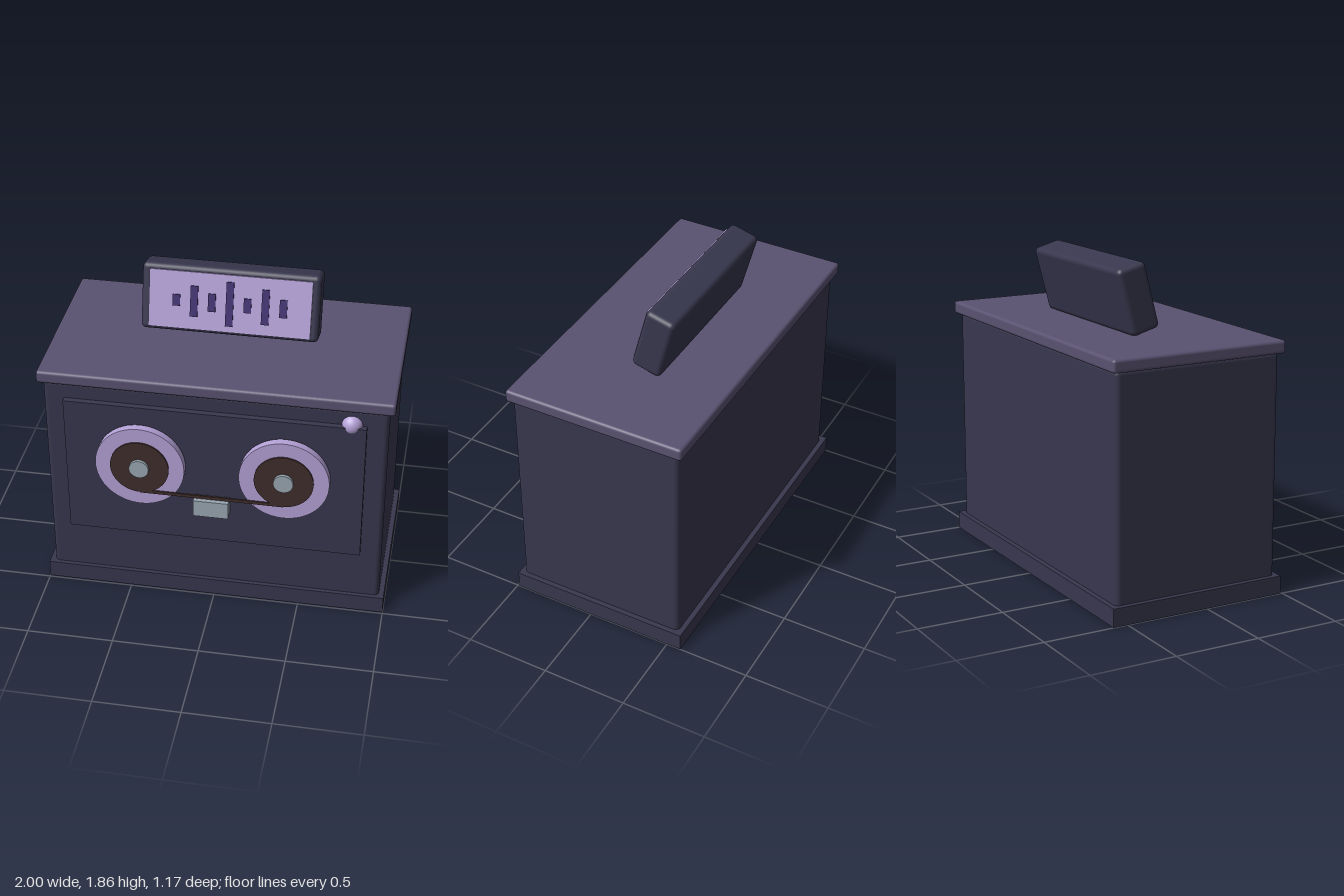
import * as THREE from 'three';
import { RoundedBoxGeometry } from 'three/addons/geometries/RoundedBoxGeometry.js';

const material = (name, color) => {
  const m = new THREE.MeshStandardMaterial({ color });
  m.name = name;
  return m;
};

export function createModel() {
  const model = new THREE.Group();
  model.name = 'tapeMachine';

  const casing = material('dark casing', 0x38374e);
  const lidMat = material('muted purple', 0x5a5271);
  const lilac = material('lilac', 0xb5a2d8);
  const tapeMat = material('brown tape', 0x3e2d2b);
  const metal = material('grey metal', 0x9aa8b4);
  const barMat = material('deep purple', 0x402f70);

  const add = (parent, name, geometry, mat, x, y, z) => {
    const mesh = new THREE.Mesh(geometry, mat);
    mesh.name = name;
    mesh.position.set(x, y, z);
    parent.add(mesh);
    return mesh;
  };
  const box = (w, h, d) => new THREE.BoxGeometry(w, h, d);
  const rounded = (w, h, d, r) => new RoundedBoxGeometry(w, h, d, 4, r);
  const disc = (r, d) => new THREE.CylinderGeometry(r, r, d, 64).rotateX(Math.PI / 2);

  // Cabinet
  add(model, 'base', box(2, 0.105, 1.075), casing, 0, 0.0525, -0.048);
  add(model, 'body', rounded(1.94, 1.33, 1.02, 0.03), casing, 0, 0.725, -0.045);
  add(model, 'lid', rounded(2, 0.075, 1.075, 0.018), lidMat, 0, 1.4165, -0.048);
  add(model, 'frontPanel', box(1.7, 0.87, 0.05), casing, 0, 0.85, 0.475);
  add(model, 'indicatorLamp', new THREE.SphereGeometry(0.06, 32, 20), lilac, 0.767, 1.287, 0.45);

  // Tape reels, mirrored left and right
  for (const side of [-1, 1]) {
    const reel = new THREE.Group();
    reel.name = side > 0 ? 'leftReel' : 'rightReel';
    reel.position.set(side * 0.41, 0.925, 0);
    model.add(reel);
    add(reel, 'flange', disc(0.255, 0.047), lilac, 0, 0, 0.5335);
    add(reel, 'tapePack', disc(0.168, 0.04), tapeMat, 0, 0, 0.546);
    add(reel, 'hub', disc(0.056, 0.055), metal, 0, 0, 0.557);
  }

  // Tape running across the head
  add(model, 'tapeStrand', box(0.82, 0.02, 0.01), tapeMat, 0, 0.762, 0.56);
  add(model, 'tapeHead', box(0.2, 0.105, 0.065), metal, 0, 0.6975, 0.556);

  // Display tilted back on top of the lid
  const display = new THREE.Group();
  display.name = 'display';
  display.position.set(0, 1.655, -0.147);
  display.rotation.x = -0.26;
  model.add(display);
  add(display, 'displayFrame', rounded(1.02, 0.39, 0.18, 0.03), casing, 0, 0, 0);
  add(display, 'screen', box(0.93, 0.336, 0.009), lilac, 0, -0.006, 0.0945);

  // Level bars on the screen
  [0.066, 0.18, 0.104, 0.258, 0.083, 0.204, 0.104].forEach((h, i) => {
    add(display, 'levelBar', box(0.043, h, 0.009), barMat, (i - 3) * 0.102, -0.007, 0.1025);
  });

  return model;
}
